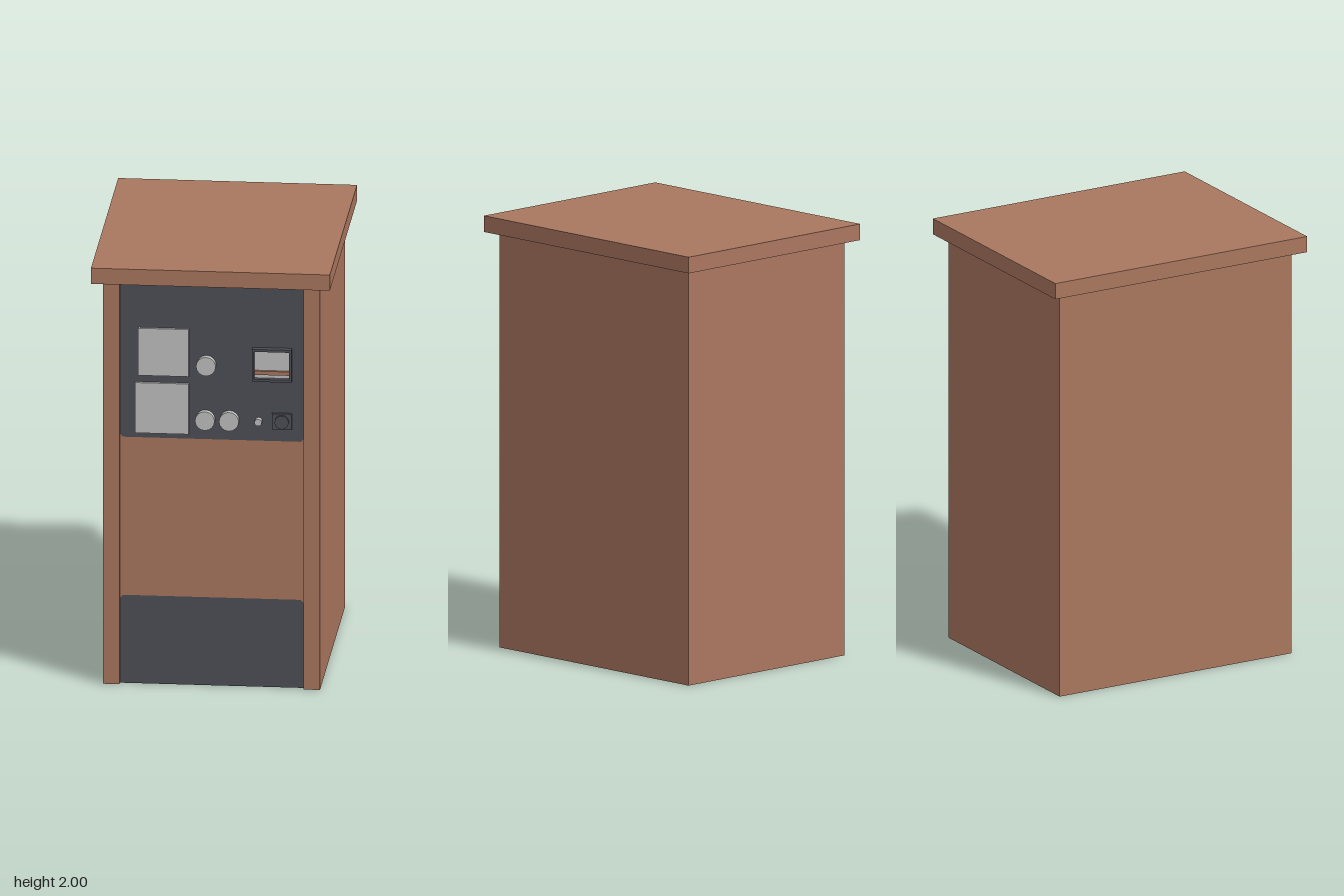
import * as THREE from 'three';

const material = (name, color, side = THREE.FrontSide) => {
  const m = new THREE.MeshStandardMaterial({ color, side });
  m.name = name;
  return m;
};

export function createModel() {
  const model = new THREE.Group();
  model.name = 'controlCabinet';
  const casing = material('casing brown', 0xaa775f, THREE.DoubleSide);
  const dark = material('panel grey', 0x4e4e57, THREE.DoubleSide);
  const light = material('light grey', 0xc0c0c2);

  const H = 1.925; // underside of the lid
  const PZ = 0.59; // recessed front panel

  const add = (name, geo, mat, x, y, z, parent = model) => {
    const mesh = new THREE.Mesh(geo, mat);
    mesh.name = name;
    mesh.position.set(x, y, z);
    parent.add(mesh);
    return mesh;
  };
  // Box given by its front edges, standing off the panel by depth d
  const plate = (name, mat, x0, x1, y0, y1, d, parent) =>
    add(name, new THREE.BoxGeometry(x1 - x0, y1 - y0, d), mat,
      (x0 + x1) / 2, (y0 + y1) / 2, PZ + d / 2, parent);
  // Round control facing forwards
  const knob = (name, mat, x, y, r, d, z = PZ, sides = 16) => {
    const geo = new THREE.CylinderGeometry(r, r, d, sides).rotateX(Math.PI / 2);
    add(name, geo, mat, x, y, z + d / 2);
  };
  // Flat front sheet from an outline
  const sheet = (name, mat, pts) => {
    const shape = new THREE.Shape(pts.map(([x, y]) => new THREE.Vector2(x, y)));
    add(name, new THREE.ShapeGeometry(shape), mat, 0, 0, PZ);
  };

  // Overhanging lid
  add('lid', new THREE.BoxGeometry(1.09, 2 - H, 1.33), casing, 0, (2 + H) / 2, 0);

  // Thin folded casing, open at the bottom, with front flanges
  const shell = new THREE.Group();
  shell.name = 'casingShell';
  model.add(shell);
  const outline = [
    [0.42, PZ], [0.42, 0.613], [0.495, 0.613], [0.495, -0.613],
    [-0.495, -0.613], [-0.495, 0.613], [-0.42, 0.613], [-0.42, PZ],
  ];
  const wallNames = ['rightReturn', 'rightFlange', 'rightWall', 'backWall',
    'leftWall', 'leftFlange', 'leftReturn'];
  wallNames.forEach((name, i) => {
    const [x0, z0] = outline[i];
    const [x1, z1] = outline[i + 1];
    const geo = new THREE.PlaneGeometry(Math.hypot(x1 - x0, z1 - z0), H);
    const wall = add(name, geo, casing, (x0 + x1) / 2, H / 2, (z0 + z1) / 2, shell);
    wall.rotation.y = Math.atan2(z0 - z1, x1 - x0);
  });

  // Front sheets: instrument panel, middle cover and kick plate
  const w = 0.42, c = 0.015, top = 1.175, low = 0.42;
  sheet('instrumentPanel', dark, [
    [-w + c, top], [w - c, top], [w, top + c], [w, H], [-w, H], [-w, top + c]]);
  sheet('middleCover', casing, [
    [-w, low - c], [-w + c, low], [w - c, low], [w, low - c],
    [w, top + c], [w - c, top], [-w + c, top], [-w, top + c]]);
  sheet('kickPlate', dark, [
    [-w, 0], [w, 0], [w, low - c], [w - c, low], [-w + c, low], [-w, low - c]]);

  // Blank plates
  plate('upperPlate', light, -0.335, -0.105, 1.475, 1.70, 0.015);
  plate('lowerPlate', light, -0.35, -0.105, 1.20, 1.44, 0.015);

  // Knobs and the small switch
  for (const [x, y] of [[-0.025, 1.53], [-0.03, 1.27], [0.08, 1.27]])
    knob('knob', light, x, y, 0.045, 0.03);
  knob('smallSwitch', light, 0.213, 1.27, 0.017, 0.03, PZ, 10);

  // Framed meter with a brown ledge
  const meter = new THREE.Group();
  meter.name = 'meter';
  model.add(meter);
  plate('meterFace', light, 0.192, 0.358, 1.475, 1.608, 0.006, meter);
  plate('meterLedge', casing, 0.195, 0.355, 1.495, 1.513, 0.02, meter);
  plate('frameTop', dark, 0.185, 0.365, 1.608, 1.62, 0.03, meter);
  plate('frameBottom', dark, 0.185, 0.365, 1.465, 1.477, 0.03, meter);
  plate('frameSide', dark, 0.185, 0.195, 1.477, 1.608, 0.03, meter);
  plate('frameSide', dark, 0.355, 0.365, 1.477, 1.608, 0.03, meter);

  // Socket with a round insert
  plate('socketBase', dark, 0.275, 0.365, 1.235, 1.31, 0.015);
  knob('socketInsert', dark, 0.32, 1.272, 0.032, 0.012, PZ + 0.015);

  return model;
}
